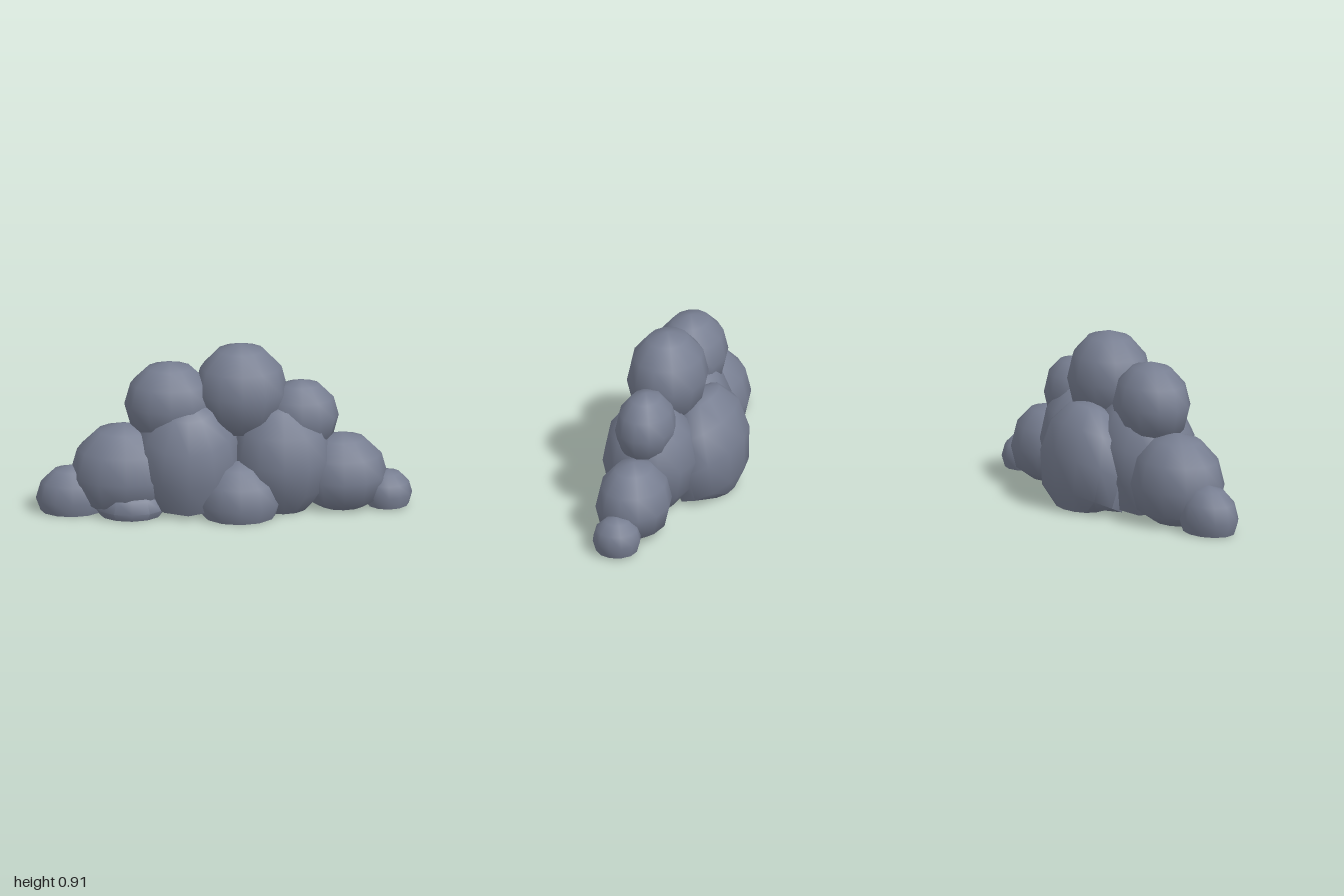
import * as THREE from 'three';
import { mergeVertices, toCreasedNormals } from 'three/addons/utils/BufferGeometryUtils.js';

// Low-poly smooth ellipsoid, flattened where it meets the ground
function puffGeometry([cx, cy, cz], [rx, ry, rz], tilt) {
  let geo = new THREE.SphereGeometry(1, 12, 6);
  geo.deleteAttribute('uv');
  geo.deleteAttribute('normal');
  geo.rotateX(tilt);
  geo.scale(rx, ry, rz);
  geo.translate(cx, cy, cz);
  const pos = geo.attributes.position;
  for (let i = 0; i < pos.count; i++) pos.setY(i, Math.max(0, pos.getY(i)));
  geo = mergeVertices(geo, 1e-4);
  return toCreasedNormals(geo, 0.9);
}

export function createModel() {
  const group = new THREE.Group();
  group.name = 'cloud';
  const slate = new THREE.MeshStandardMaterial({ color: 0x777e91 });
  slate.name = 'slate grey';

  // name, centre, radii, tilt of the facets
  const half = Math.PI / 12;
  const puffs = [
    ['topPuff', [0.09, 0.655, 0.035], [0.25, 0.26, 0.215], 0],
    ['upperRightPuff', [-0.29, 0.59, 0.04], [0.24, 0.23, 0.195], 0],
    ['upperLeftPuff', [0.41, 0.51, 0.045], [0.2, 0.2, 0.16], 0],
    ['centreRightPuff', [-0.2, 0.285, 0.06], [0.29, 0.37, 0.275], half],
    ['centreLeftPuff', [0.31, 0.28, 0.055], [0.27, 0.33, 0.255], 0],
    ['backPuff', [0.02, 0.215, -0.165], [0.32, 0.36, 0.213], half],
    ['sideRightPuff', [-0.53, 0.2, 0.04], [0.29, 0.28, 0.235], 0],
    ['sideLeftPuff', [0.63, 0.17, 0.035], [0.24, 0.235, 0.2], 0],
    ['endRightPuff', [-0.81, 0.07, 0.045], [0.19, 0.18, 0.145], 0],
    ['endLeftPuff', [0.87, 0.07, 0.045], [0.13, 0.125, 0.13], 0],
    ['frontPuff', [0.075, 0.075, 0.17], [0.225, 0.225, 0.2], 0],
    ['frontRightPuff', [-0.5, 0.04, 0.13], [0.19, 0.13, 0.15], 0],
  ];

  for (const [name, centre, radii, tilt] of puffs) {
    const puff = new THREE.Mesh(puffGeometry(centre, radii, tilt), slate);
    puff.name = name;
    group.add(puff);
  }
  return group;
}
